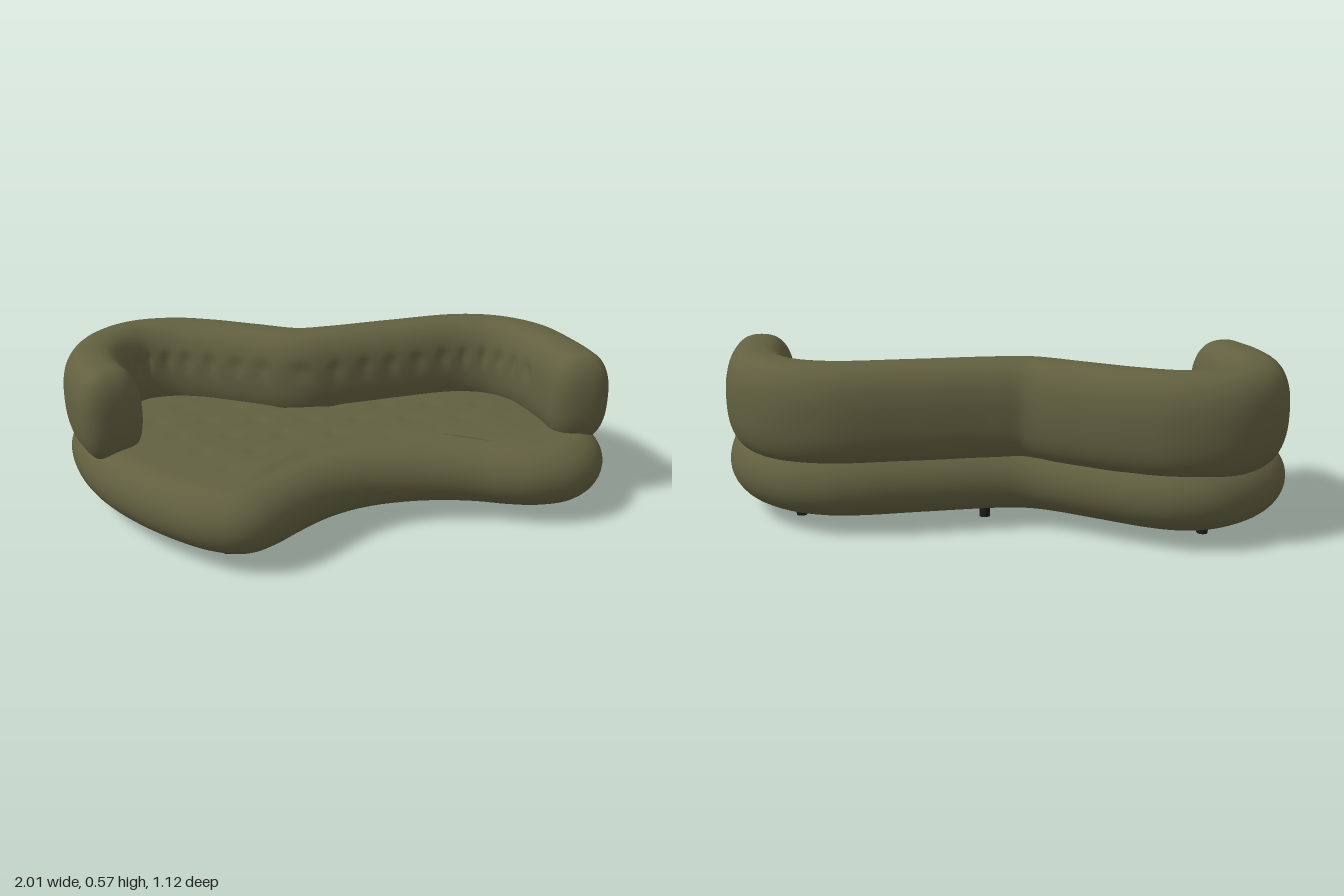
import * as THREE from 'three';

const olive = new THREE.MeshStandardMaterial({ color: 0x626040 });
olive.name = 'olive fabric';
const black = new THREE.MeshStandardMaterial({ color: 0x1c1c20 });
black.name = 'black legs';

// Smooth surface over a grid of points; either direction may close on itself
function gridSurface(rows, cols, wrapRows, wrapCols, point) {
  const pos = [], idx = [];
  for (let i = 0; i < rows; i++)
    for (let j = 0; j < cols; j++) pos.push(...point(i, j));
  for (let i = 0; i < (wrapRows ? rows : rows - 1); i++)
    for (let j = 0; j < (wrapCols ? cols : cols - 1); j++) {
      const i1 = (i + 1) % rows, j1 = (j + 1) % cols;
      const a = i * cols + j, b = i * cols + j1, c = i1 * cols + j1, d = i1 * cols + j;
      idx.push(a, d, c, a, c, b);
    }
  const g = new THREE.BufferGeometry();
  g.setAttribute('position', new THREE.Float32BufferAttribute(pos, 3));
  g.setIndex(idx);
  g.computeVertexNormals();
  return g;
}

function curveThrough(points, closed) {
  const c = new THREE.CatmullRomCurve3(points.map(([x, z]) => new THREE.Vector3(x, 0, z)), closed);
  c.arcLengthDivisions = 1000;
  return c;
}

// Soft dimple falling off with distance
const dimple = (dx, dy, radius) => Math.exp(-(dx * dx + dy * dy) / (radius * radius));

// Seat: curved outline, half-round rim, slightly crowned and tufted top
function seatGeometry() {
  const outline = curveThrough([
    [-1, -0.19], [-0.97, -0.32], [-0.88, -0.45], [-0.75, -0.54], [-0.62, -0.562], [-0.5, -0.54],
    [-0.35, -0.485], [-0.2, -0.43], [-0.13, -0.414], [-0.05, -0.422], [0.2, -0.49], [0.4, -0.547],
    [0.52, -0.562], [0.66, -0.54], [0.81, -0.455], [0.91, -0.33], [0.97, -0.17], [1, -0.02],
    [0.99, 0.08], [0.94, 0.17], [0.85, 0.238], [0.72, 0.262], [0.6, 0.247], [0.5, 0.222],
    [0.38, 0.21], [0.25, 0.218], [0.12, 0.25], [0, 0.315], [-0.1, 0.405], [-0.18, 0.488],
    [-0.26, 0.545], [-0.34, 0.56], [-0.45, 0.53], [-0.58, 0.45], [-0.72, 0.33], [-0.85, 0.18], [-0.95, 0],
  ], true);
  const cols = 240, rimRows = 20, topRows = 40, R = 0.117, midY = 0.168;
  const centre = [-0.06, -0.06];
  const pts = [], inward = [];
  for (let j = 0; j < cols; j++) {
    const t = outline.getTangentAt(j / cols);
    pts.push(outline.getPointAt(j / cols));
    inward.push([-t.z, t.x]);
  }
  const tufts = [];
  for (let r = 0; r < 5; r++)
    for (let k = 0; k < 9; k++) tufts.push([-0.76 + k * 0.19 + (r % 2) * 0.095, -0.21 + r * 0.13]);

  return gridSurface(1 + rimRows + 1 + topRows, cols, false, true, (i, j) => {
    const a = (THREE.MathUtils.clamp(i - 1, 0, rimRows) / rimRows - 0.5) * Math.PI;
    const inset = R * (1 - Math.cos(a));
    let x = pts[j].x + inward[j][0] * inset;
    let z = pts[j].z + inward[j][1] * inset;
    let y = midY + R * Math.sin(a);
    // How far the ring has shrunk towards the centre
    const f = i === 0 ? 1 : Math.max(0, i - 1 - rimRows) / (topRows + 0);
    x += (centre[0] - x) * f;
    z += (centre[1] - z) * f;
    if (i > rimRows + 1) {
      const fade = THREE.MathUtils.smoothstep(f, 0, 0.35);
      y += 0.012 * fade;
      for (const [tx, tz] of tufts) y -= 0.006 * fade * dimple(x - tx, z - tz, 0.032);
    }
    return [x, y, z];
  });
}

// Backrest: rounded section swept along the back and both arms, with soft ends
function backrestGeometry() {
  const path = curveThrough([
    [-0.75, 0.155], [-0.79, 0.09], [-0.85, -0.03], [-0.882, -0.17], [-0.855, -0.31], [-0.765, -0.415],
    [-0.62, -0.447], [-0.48, -0.42], [-0.3, -0.355], [-0.13, -0.297], [0, -0.317], [0.25, -0.385],
    [0.52, -0.447], [0.67, -0.418], [0.785, -0.32], [0.85, -0.17], [0.886, -0.04], [0.903, 0.078],
  ], false);
  const length = path.getLength(), cap = 0.1, capCols = 14, midCols = 230, rows = 56;
  const W = 0.116, H = 0.175, midY = 0.4, n = 2.5;

  // Distances along the path, packed closely at the two ends
  const dist = [];
  for (let k = 0; k < capCols; k++) dist.push(cap * (1 - Math.cos((k / capCols) * Math.PI / 2)));
  const mirrored = dist.map((d) => length - d).reverse();
  for (let k = 0; k <= midCols; k++) dist.push(cap + (length - 2 * cap) * k / midCols);
  dist.push(...mirrored);

  const frames = dist.map((d) => {
    const u = THREE.MathUtils.clamp(d / length, 0, 1);
    const p = path.getPointAt(u), t = path.getTangentAt(u);
    const q = 1 - Math.min(1, Math.min(d, length - d) / cap);
    const scale = Math.pow(Math.max(0, 1 - Math.pow(q, n)), 1 / n);
    return { p, t, d, scale };
  });
  const round = (v) => Math.sign(v) * Math.pow(Math.abs(v), 2 / n);

  return gridSurface(rows, frames.length, true, false, (i, j) => {
    const { p, t, d, scale } = frames[j];
    const a = (i / rows) * Math.PI * 2;
    let across = -round(Math.cos(a)) * W * scale;
    const y = midY + round(Math.sin(a)) * H * scale;
    // Row of tufts along the inner face
    if (across > 0 && d > 0.3 && d < length - 0.2) {
      const along = ((d + 0.055) % 0.11) - 0.055;
      across -= 0.012 * dimple(along, y - 0.445, 0.026);
    }
    return [p.x - t.z * across, y, p.z + t.x * across];
  });
}

export function createModel() {
  const sofa = new THREE.Group();
  sofa.name = 'sofa';
  const add = (name, geometry, material) => {
    const mesh = new THREE.Mesh(geometry, material);
    mesh.name = name;
    sofa.add(mesh);
    return mesh;
  };
  add('seat', seatGeometry(), olive);
  add('backrest', backrestGeometry(), olive);

  // Short round legs
  const leg = new THREE.CylinderGeometry(0.019, 0.019, 0.06, 20);
  const spots = [[-0.38, 0.37], [-0.77, 0.015], [-0.72, -0.345], [0.025, -0.275], [0.665, -0.335], [0.775, 0.015]];
  spots.forEach(([x, z], k) => add('leg' + (k + 1), leg, black).position.set(x, 0.03, z));
  return sofa;
}
